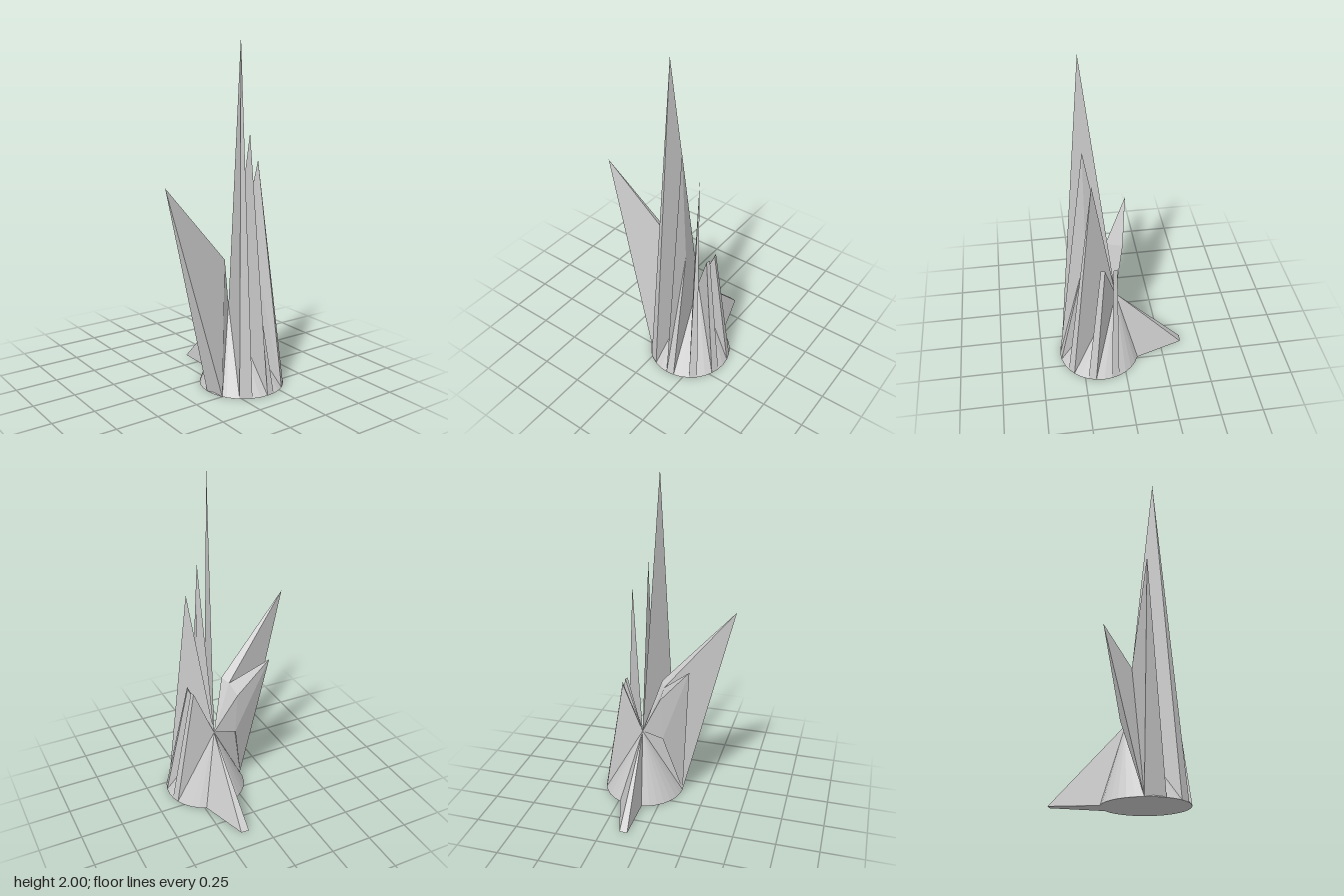
import * as THREE from 'three';

const SIDES = 32, RADIUS = 0.247;
const CENTRE = [0.146, 0.138];
const APEX = [0.127, 0.45, 0.032];

// Rim point; k counts sides from +x toward +z
function rim(k) {
  const a = (k / SIDES) * Math.PI * 2;
  return [CENTRE[0] + RADIUS * Math.cos(a), 0, CENTRE[1] + RADIUS * Math.sin(a)];
}

// Point halfway between the apex and a rim point, lifted to height y
function mid(k, y) {
  const r = rim(k);
  return [(APEX[0] + r[0]) / 2, y, (APEX[2] + r[2]) / 2];
}

export function createModel() {
  const group = new THREE.Group();
  const material = new THREE.MeshStandardMaterial({
    color: 0xcccccc, flatShading: true, side: THREE.DoubleSide,
  });

  // Each face is a list of corners, split as a fan
  function addFaces(name, faces) {
    const pos = [];
    for (const f of faces) {
      for (let i = 1; i < f.length - 1; i++) pos.push(...f[0], ...f[i], ...f[i + 1]);
    }
    const geo = new THREE.BufferGeometry();
    geo.setAttribute('position', new THREE.Float32BufferAttribute(pos, 3));
    geo.computeVertexNormals();
    const mesh = new THREE.Mesh(geo, material);
    mesh.name = name;
    group.add(mesh);
  }

  // Leaning cone, two rim points pulled out into a low rear fin
  const ring = [];
  for (let k = 0; k < SIDES; k++) {
    const p = rim(k);
    if (k === 24 || k === 25) { p[0] -= 0.046; p[2] -= 0.275; }
    ring.push(p);
  }
  const cone = [], base = [];
  const hub = [CENTRE[0], 0, CENTRE[1]];
  ring.forEach((p, k) => {
    const q = ring[(k + 1) % SIDES];
    cone.push([p, APEX, q]);
    base.push([hub, p, q]);
  });
  addFaces('cone', cone);
  addFaces('base', base);

  // Ridges: one cone side lifted along its middle edge
  function ridge(name, k, y0, y1) {
    const a = mid(k, y0), b = mid(k + 1, y1), r0 = rim(k), r1 = rim(k + 1);
    addFaces(name, [
      [APEX, b, a],
      [a, b, r1], [a, r1, r0],
      [APEX, a, r0], [APEX, r1, b],
    ]);
  }
  ridge('leftRearRidge', -2, 0.75, 0.75);
  ridge('leftFrontRidge', 1, 0.75, 0.75);
  ridge('frontLeftSpike', 4, 1.32, 0.73);
  ridge('frontSpike', 7, 0.8, 1.48);

  // Tallest spike
  const top = [0.067, 2, 0.21], t0 = rim(10), t1 = rim(11.5);
  addFaces('tallSpike', [[top, t1, t0], [top, t0, APEX], [top, APEX, t1]]);

  // Long spike leaning out to the right
  const tip = [-0.395, 1.22, 0.18];
  const inFront = [0.03, 0.76, 0.125], inBack = [0.005, 0.74, 0.075];
  const b0 = rim(13.6), b1 = rim(16);
  addFaces('leaningSpike', [
    [APEX, inBack, inFront], [inFront, inBack, tip],
    [tip, b0, inFront], [tip, inBack, b1], [tip, b1, b0],
    [APEX, inFront, b0], [APEX, b1, inBack],
  ]);

  // Overhanging spike at the right rear
  const peak = [-0.183, 0.93, -0.07], shoulder = [0, 0.71, -0.03];
  const under = [-0.005, 0.43, 0.01];
  addFaces('overhangSpike', [
    [APEX, shoulder, inBack], [shoulder, peak, inBack],
    [peak, b1, inBack], [shoulder, under, peak],
    [peak, under, b1], [APEX, under, shoulder],
  ]);

  return group;
}
